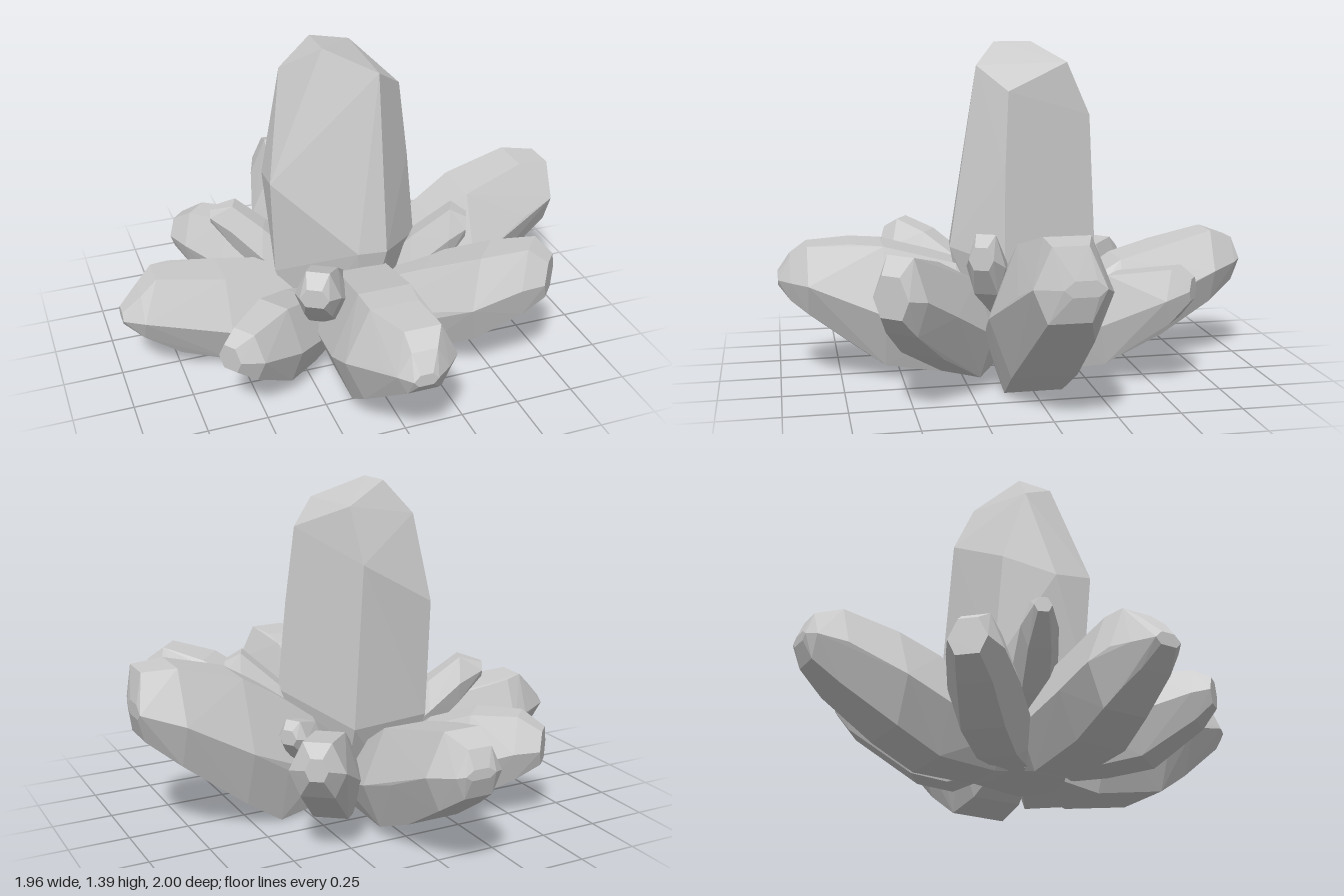
import * as THREE from 'three';
import { ConvexGeometry } from 'three/addons/geometries/ConvexGeometry.js';

const material = new THREE.MeshStandardMaterial({ color: 0xcccccc, flatShading: true });

function addHull(group, name, points) {
  const mesh = new THREE.Mesh(new ConvexGeometry(points), material);
  mesh.name = name;
  group.add(mesh);
}

// Leaning crystal: six-sided upright sections strung outward along (dx, dz).
// Each section is [distance, lowest y, highest y, half width, sideways shift].
function addShard(group, name, dx, dz, sections) {
  const a = Math.atan2(dz, dx), c = Math.cos(a), s = Math.sin(a);
  const points = [];
  for (const [d, lo, hi, w, shift = 0] of sections) {
    const mid = lo + (hi - lo) * 0.46;
    const ring = [[-w, mid], [w, mid], [-w * 0.5, hi], [w * 0.5, hi], [-w * 0.6, lo], [w * 0.6, lo]];
    for (const [side, y] of ring) {
      const n = side + shift;
      points.push(new THREE.Vector3(d * c - n * s, y, d * s + n * c));
    }
  }
  addHull(group, name, points);
}

export function createModel() {
  const group = new THREE.Group();
  group.name = 'crystalCluster';

  // Tall central crystal: slanted cap, broad waist, narrow foot
  const cap = [[-0.11, 1.39, 0.07], [-0.11, 1.39, -0.09], [0.09, 1.3, 0.18],
    [0.22, 1.2, 0.07], [0.1, 1.31, -0.2], [-0.23, 1.25, -0.13]];
  const waist = [[-0.35, 0.85, 0.11], [-0.34, 0.83, -0.05], [-0.25, 0.9, -0.25],
    [0.09, 1.09, -0.3], [0.255, 0.88, 0.09], [-0.03, 0.55, 0.28], [0.09, 0.55, 0.295],
    [0.29, 0.5, 0.1], [0.14, 0.42, -0.32], [-0.33, 0.42, 0.08], [-0.22, 0.42, -0.27]];
  const foot = [[-0.2, 0.05, 0.08], [0.02, 0.04, 0.19], [0.18, 0.05, 0.08],
    [0.12, 0.05, -0.17], [-0.14, 0.05, -0.17]];
  addHull(group, 'centralCrystal', [...cap, ...waist, ...foot].map(p => new THREE.Vector3(...p)));

  // Four large crystals, one toward each side
  addShard(group, 'leftCrystal', 1, 0, [[0.12, 0.1, 0.35, 0.14], [0.22, 0.03, 0.42, 0.18],
    [0.38, 0, 0.54, 0.2], [0.54, 0.11, 0.64, 0.22, -0.01], [0.81, 0.32, 0.72, 0.18, -0.03],
    [0.945, 0.43, 0.71, 0.135, -0.01], [0.975, 0.53, 0.59, 0.08, -0.06]]);
  addShard(group, 'rightCrystal', -1, 0, [[0.12, 0.05, 0.3, 0.12], [0.24, 0.01, 0.38, 0.16],
    [0.55, 0.035, 0.43, 0.18], [0.75, 0.09, 0.45, 0.155, 0.03], [0.83, 0.15, 0.46, 0.125, 0.02],
    [0.9, 0.2, 0.4, 0.105], [0.98, 0.27, 0.32, 0.055]]);
  addShard(group, 'frontCrystal', 0, 1, [[0.12, 0.05, 0.4, 0.16], [0.27, 0.01, 0.48, 0.21, 0.01],
    [0.57, 0.06, 0.56, 0.22, 0.03], [0.7, 0.15, 0.57, 0.2, 0.04], [0.88, 0.29, 0.57, 0.15],
    [0.95, 0.34, 0.52, 0.105, 0.02], [1, 0.4, 0.45, 0.05, 0.03]]);
  addShard(group, 'backCrystal', 0, -1, [[0.12, 0.05, 0.25, 0.12, -0.02], [0.2, 0.03, 0.3, 0.16, -0.02],
    [0.45, 0.04, 0.46, 0.19, -0.02], [0.64, 0.12, 0.51, 0.19, -0.04], [0.86, 0.26, 0.57, 0.15, -0.02],
    [0.97, 0.34, 0.53, 0.1, -0.03], [1, 0.42, 0.46, 0.065, -0.02]]);

  // Medium crystals on the diagonals
  addShard(group, 'frontLeftCrystal', 0.68, 0.58, [[0.18, 0.1, 0.35, 0.12, 0.03], [0.4, 0.06, 0.46, 0.155, 0.03],
    [0.65, 0.2, 0.58, 0.165, 0.05], [0.83, 0.33, 0.63, 0.12, 0.02], [0.91, 0.41, 0.57, 0.08, 0.01]]);
  addShard(group, 'frontRightCrystal', -0.8, 0.6, [[0.18, 0.05, 0.3, 0.11], [0.33, 0.05, 0.36, 0.135],
    [0.52, 0.07, 0.42, 0.14, -0.01], [0.73, 0.2, 0.41, 0.1, -0.02], [0.8, 0.26, 0.37, 0.055]]);
  addShard(group, 'backRightCrystal', -0.71, -0.7, [[0.18, 0.05, 0.25, 0.1], [0.35, 0.04, 0.38, 0.13, 0.02],
    [0.55, 0.08, 0.45, 0.14, 0.02], [0.74, 0.18, 0.45, 0.11], [0.84, 0.25, 0.39, 0.075]]);
  addShard(group, 'backLeftCrystal', 0.6, -0.8, [[0.18, 0.08, 0.25, 0.09], [0.3, 0.04, 0.36, 0.11],
    [0.45, 0.08, 0.45, 0.12], [0.72, 0.28, 0.5, 0.112], [0.79, 0.37, 0.46, 0.045, -0.01]]);

  // Small steep crystals tucked against the central one
  addShard(group, 'smallFrontLeftCrystal', 0.9, 0.43, [[0.1, 0.1, 0.3, 0.07], [0.3, 0.25, 0.52, 0.085],
    [0.46, 0.42, 0.66, 0.08], [0.53, 0.53, 0.62, 0.05]]);
  addShard(group, 'smallBackRightCrystal', -0.92, -0.4, [[0.1, 0.1, 0.3, 0.07], [0.34, 0.3, 0.53, 0.09],
    [0.47, 0.43, 0.63, 0.075], [0.57, 0.54, 0.6, 0.035]]);
  addShard(group, 'smallFrontRightCrystal', -0.5, 0.86, [[0.15, 0.15, 0.4, 0.09], [0.4, 0.3, 0.57, 0.11],
    [0.53, 0.42, 0.62, 0.095], [0.6, 0.5, 0.58, 0.06]]);
  addShard(group, 'smallBackLeftCrystal', 0.83, -0.55, [[0.1, 0.15, 0.3, 0.06], [0.35, 0.25, 0.45, 0.08],
    [0.46, 0.35, 0.48, 0.065], [0.5, 0.39, 0.45, 0.04]]);

  return group;
}
